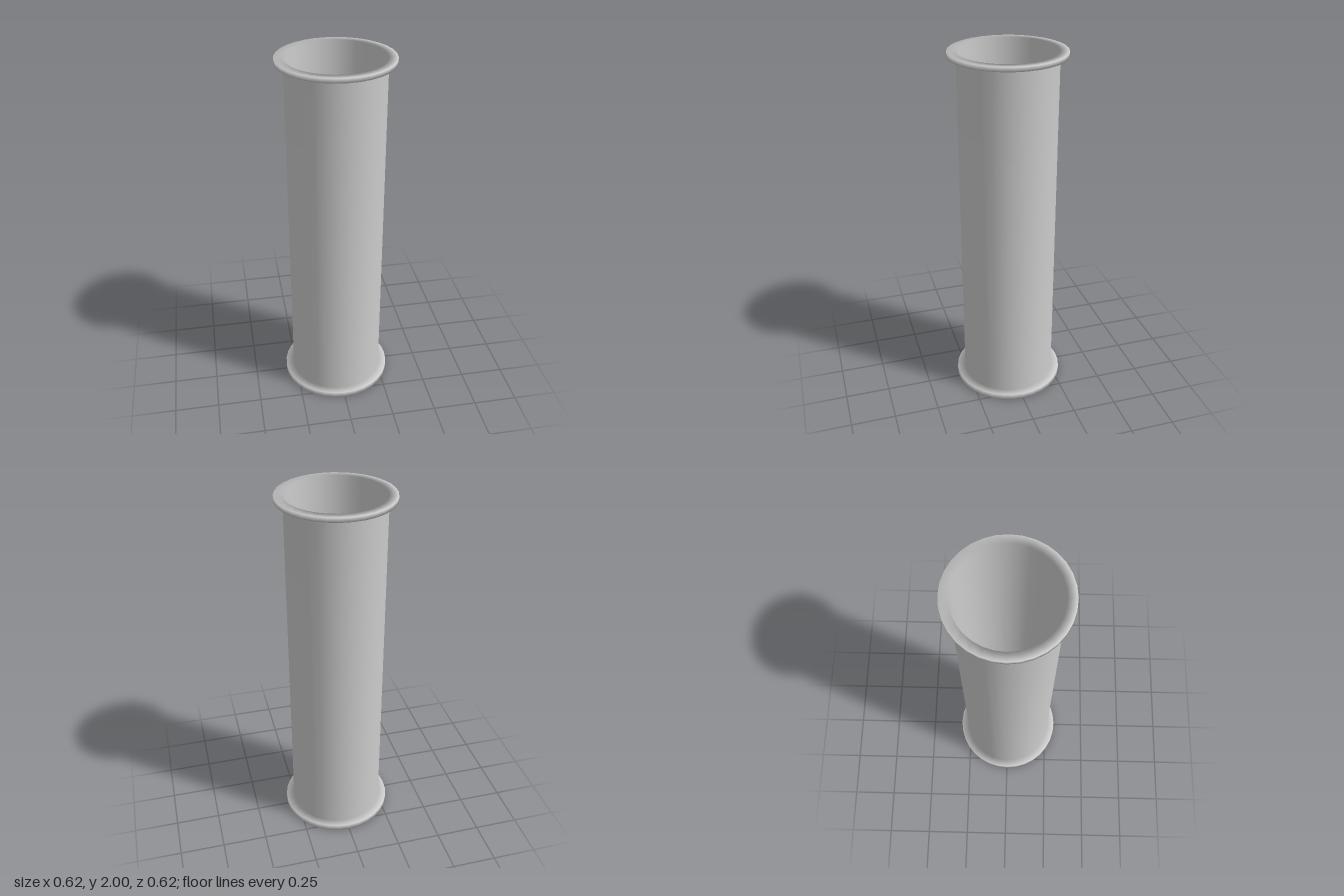
import * as THREE from 'three';

const SEGMENTS = 32;
const INNER = 0.264;  // bore radius
const OUTER = 0.266;  // thin pipe wall
const FLANGE = 0.312; // flange radius

export function createModel() {
  const group = new THREE.Group();
  group.name = 'pipe';
  const material = new THREE.MeshStandardMaterial({ color: 0xcccccc, side: THREE.DoubleSide });

  // Closed section: bottom flange, outer wall, top flange, then back down the bore
  const profile = [
    [INNER, 0], [FLANGE, 0], [FLANGE, 0.035], [OUTER, 0.035],
    [OUTER, 1.975], [FLANGE, 1.975], [FLANGE, 2], [INNER, 2], [INNER, 0],
  ].map(([r, y]) => new THREE.Vector2(r, y));

  // Smooth normals run across the corners, blending wall and flanges
  const pipe = new THREE.Mesh(new THREE.LatheGeometry(profile, SEGMENTS), material);
  pipe.name = 'flangedPipe';
  group.add(pipe);
  return group;
}
